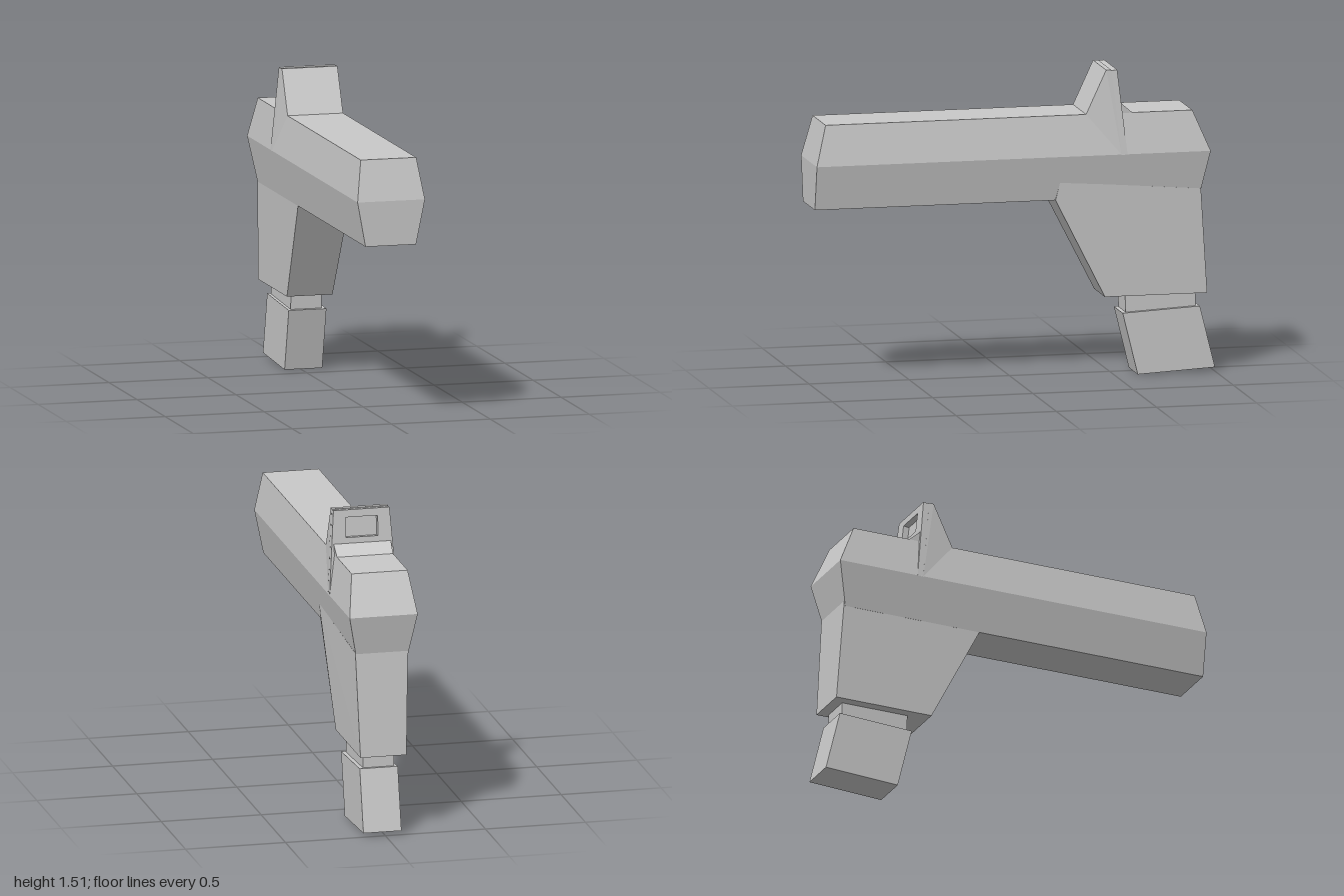
import * as THREE from 'three';
import { ConvexGeometry } from 'three/addons/geometries/ConvexGeometry.js';

const gunmetal = new THREE.MeshStandardMaterial({ color: 0xc8c8c8, flatShading: true });
gunmetal.name = 'light grey';

export function createModel() {
  const model = new THREE.Group();
  model.name = 'blasterPistol';

  const add = (name, geometry) => {
    const mesh = new THREE.Mesh(geometry, gunmetal);
    mesh.name = name;
    model.add(mesh);
    return mesh;
  };
  // Convex solid from rows of [leftmost x, rightmost x, y, z]
  const solid = (name, rows) => add(name, new ConvexGeometry(rows.flatMap(([x0, x1, y, z]) => [
    new THREE.Vector3(x0, y, z), new THREE.Vector3(x1, y, z),
  ])));

  // Long six-sided slide with bevelled ends
  solid('slide', [
    [-0.13, 0.125, 0.88, 1], [-0.17, 0.17, 1.1, 1], [-0.14, 0.14, 1.3, 0.95],
    [-0.14, 0.14, 1.3, -0.88], [-0.17, 0.17, 1.1, -0.965], [-0.13, 0.125, 0.88, -0.92],
  ]);

  // Tapered grip, slightly fuller on one side where it blends into the slide
  solid('grip', [
    [-0.13, 0.13, 0.88, -0.2], [-0.13, 0.143, 0.97, -0.22],
    [-0.13, 0.132, 0.91, -0.4], [-0.13, 0.132, 0.91, -0.925],
    [-0.115, 0.115, 0.39, -0.45], [-0.115, 0.115, 0.39, -0.96],
  ]);

  // Magazine neck and slanted magazine, set a little off centre
  solid('magazineNeck', [
    [-0.065, 0.09, 0.42, -0.555], [-0.065, 0.09, 0.42, -0.905],
    [-0.065, 0.09, 0.29, -0.56], [-0.065, 0.09, 0.29, -0.91],
  ]);
  solid('magazine', [
    [-0.08, 0.11, 0.305, -0.54], [-0.08, 0.11, 0.325, -0.925],
    [-0.08, 0.11, 0.02, -1], [-0.08, 0.11, 0, -0.615],
  ]);

  // Sight wedge, its windowed rear frame and the small ramp behind it
  const depth = 0.03;
  solid('sightWedge', [
    [-0.14, 0.14, 1.515, -0.45], [-0.14, 0.14, 1.515, -0.505 + depth],
    [-0.14, 0.14, 1.3, -0.35], [-0.17, 0.17, 1.1, -0.55 + depth],
  ]);
  const outline = (points) => points.map(([x, y]) => new THREE.Vector2(x, y));
  const frame = new THREE.Shape(outline([[-0.17, 0], [0.17, 0], [0.14, 0.417], [-0.14, 0.417]]));
  frame.holes.push(new THREE.Path(outline([[-0.08, 0.28], [-0.08, 0.38], [0.08, 0.38], [0.08, 0.28]])));
  const rear = add('sightFrame', new THREE.ExtrudeGeometry(frame, { depth, bevelEnabled: false }));
  rear.position.set(0, 1.1, -0.55);
  rear.rotation.x = Math.atan2(0.045, 0.415);

  solid('sightRamp', [
    [-0.14, 0.14, 1.3, -0.58], [-0.143, 0.143, 1.35, -0.523],
    [-0.143, 0.143, 1.35, -0.505], [-0.14, 0.14, 1.29, -0.505],
  ]);

  return model;
}
